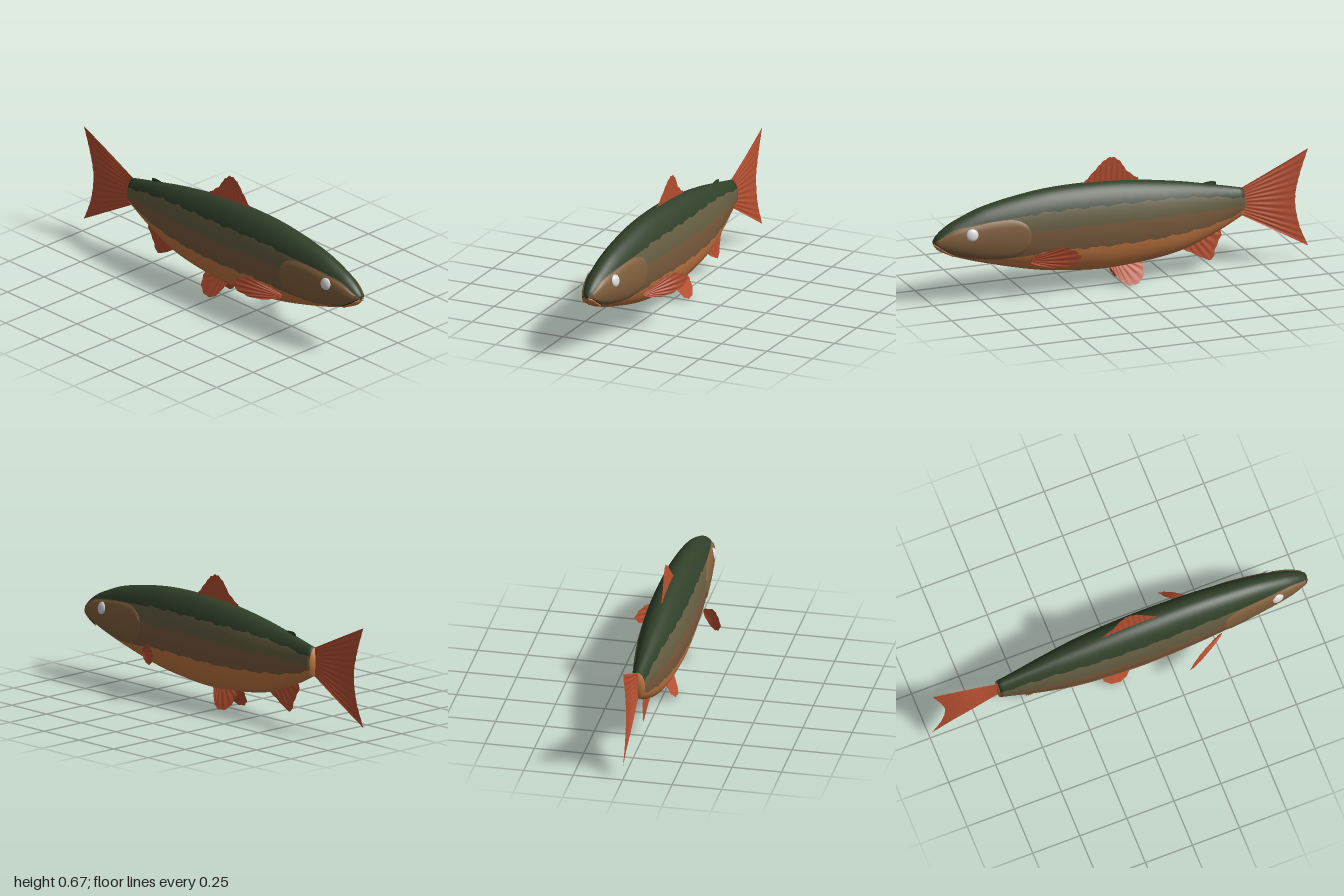
import * as THREE from 'three';

const mat = (name, color, side = THREE.FrontSide) => {
  const m = new THREE.MeshStandardMaterial({ color, side });
  m.name = name;
  return m;
};

// Smooth lookup in a table of [z, value] rows running from nose to tail
function table(rows) {
  const slope = (a, b) => (rows[b][1] - rows[a][1]) / (rows[b][0] - rows[a][0]);
  const last = rows.length - 1;
  return (z) => {
    let i = 0;
    while (i < last - 1 && z < rows[i + 1][0]) i++;
    const [z0, v0] = rows[i], [z1, v1] = rows[i + 1], d = z1 - z0;
    const t = THREE.MathUtils.clamp((z - z0) / d, 0, 1);
    const m0 = slope(Math.max(i - 1, 0), i + 1) * d, m1 = slope(i, Math.min(i + 2, last)) * d;
    const t2 = t * t, t3 = t2 * t;
    return (2 * t3 - 3 * t2 + 1) * v0 + (t3 - 2 * t2 + t) * m0 + (3 * t2 - 2 * t3) * v1 + (t3 - t2) * m1;
  };
}

// Body outline and colour boundaries
const topY = table([[1, .345], [.985, .365], [.95, .395], [.89, .43], [.73, .49], [.46, .537], [.25, .547], [0, .537], [-.286, .497], [-.5, .452], [-.64, .42]]);
const bottomY = table([[1, .325], [.985, .298], [.95, .275], [.89, .248], [.73, .197], [.46, .13], [.25, .102], [.05, .093], [-.286, .13], [-.5, .207], [-.64, .278]]);
const halfWidth = table([[1, .01], [.985, .027], [.95, .043], [.9, .058], [.8, .074], [.6, .095], [.4, .107], [.1, .113], [-.2, .1], [-.4, .074], [-.55, .049], [-.64, .036]]);
const bands = [
  table([[1, .328], [.9, .268], [.8, .238], [.6, .23], [.4, .245], [0, .24], [-.3, .25], [-.5, .27], [-.64, .31]]),
  table([[1, .334], [.9, .34], [.6, .36], [0, .355], [-.3, .348], [-.5, .34], [-.64, .336]]),
  table([[1, .338], [.95, .375], [.9, .4], [.8, .42], [.6, .437], [.4, .45], [0, .445], [-.3, .43], [-.5, .402], [-.64, .375]]),
];
const centre = (z) => (topY(z) + bottomY(z)) / 2;
const halfHeight = (z) => (topY(z) - bottomY(z)) / 2;
const angleAt = (z, y) => Math.asin(THREE.MathUtils.clamp((y - centre(z)) / halfHeight(z), -.97, .97));
const onBody = (z, a, off = 0) => [(halfWidth(z) + off) * Math.cos(a), centre(z) + (halfHeight(z) + off) * Math.sin(a), z];

// Indexed surface from a grid of points
function grid(rows, cols, point) {
  const pos = [], idx = [];
  for (let i = 0; i <= rows; i++) for (let j = 0; j <= cols; j++) pos.push(...point(i / rows, j / cols));
  for (let i = 0; i < rows; i++) for (let j = 0; j < cols; j++) {
    const a = i * (cols + 1) + j, b = a + cols + 1;
    idx.push(a, b, a + 1, a + 1, b, b + 1);
  }
  const g = new THREE.BufferGeometry();
  g.setAttribute('position', new THREE.Float32BufferAttribute(pos, 3));
  g.setIndex(idx);
  g.computeVertexNormals();
  return g;
}

// Closed body loft; the rings follow the colour boundaries
function bodyGeometry() {
  const rows = 110, segs = [10, 5, 5, 10], pos = [], lists = [[], [], [], []];
  const half = segs.reduce((a, b) => a + b), ring = half * 2;
  const owner = segs.flatMap((n, k) => Array(n).fill(k));
  for (let i = 0; i <= rows; i++) {
    const z = 1 - 1.64 * Math.pow(i / rows, 1.5);
    const wave = z < .55 ? .004 * Math.sin(z * 47) + .003 * Math.sin(z * 101) : 0;
    const stops = [-Math.PI / 2, ...bands.map((b, k) => angleAt(z, b(z) + wave * (k % 2 ? -1 : 1))), Math.PI / 2];
    const angles = [];
    segs.forEach((n, k) => {
      for (let j = 0; j < n; j++) angles.push(THREE.MathUtils.lerp(stops[k], stops[k + 1], j / n));
    });
    angles.push(Math.PI / 2);
    for (let j = 0; j < ring; j++) {
      const p = onBody(z, angles[j <= half ? j : ring - j]);
      pos.push(j <= half ? p[0] : -p[0], p[1], p[2]);
    }
  }
  for (let i = 0; i < rows; i++) for (let j = 0; j < ring; j++) {
    const a = i * ring + j, b = i * ring + (j + 1) % ring;
    lists[owner[j < half ? j : ring - 1 - j]].push(a, a + ring, b, b, a + ring, b + ring);
  }
  // Nose and tail caps
  const nose = pos.length / 3, tail = nose + 1, end = rows * ring;
  pos.push(0, centre(1), 1, 0, centre(-.64), -.645);
  for (let j = 0; j < ring; j++) {
    const k = (j + 1) % ring;
    lists[3].push(nose, j, k);
    lists[0].push(tail, end + k, end + j);
  }
  const g = new THREE.BufferGeometry();
  g.setAttribute('position', new THREE.Float32BufferAttribute(pos, 3));
  g.setIndex(lists.flat());
  let start = 0;
  lists.forEach((l, k) => { g.addGroup(start, l.length, k); start += l.length; });
  g.computeVertexNormals();
  return g;
}

// Pleated fin between a base line and a ragged tip line, placed by a rule
function finGeometry(base, tip, rays, place, ragged = .006) {
  const curve = (pts) => new THREE.CatmullRomCurve3(pts.map(([u, v]) => new THREE.Vector3(u, v, 0)), false, 'centripetal');
  const b = curve(base), t = curve(tip);
  return grid(rays * 4, 6, (i, j) => {
    const p = b.getPoint(i), q = t.getPoint(i), fold = Math.cos(i * rays * Math.PI * 2);
    const out = q.clone().sub(p);
    if (out.length() > .03) q.addScaledVector(out.normalize(), ragged * (fold - 1) / 2);
    p.lerp(q, j);
    return place(p.x, p.y, .0025 * fold * Math.sin(Math.PI * j));
  });
}

export function createModel() {
  const fish = new THREE.Group();
  fish.name = 'fish';
  const belly = mat('orange belly', 0xc67a43), side = mat('brown flank', 0x7a5b3e);
  const olive = mat('olive flank', 0x665f43), back = mat('dark green back', 0x304029, THREE.DoubleSide);
  const head = mat('brown cheek', 0x84623f, THREE.DoubleSide), fin = mat('red fin', 0xb95132, THREE.DoubleSide);
  const white = mat('pale eye', 0xdedede), dark = mat('dark mouth', 0x3a2a1c);
  const add = (name, geo, material, parent = fish) => {
    const m = new THREE.Mesh(geo, material);
    m.name = name;
    parent.add(m);
    return m;
  };

  add('body', bodyGeometry(), [belly, side, olive, back]);

  // Tail and the single fins on the midline, given as [z, y]
  add('tailFin', finGeometry([[-.625, .415], [-.625, .35], [-.625, .283]],
    [[-.99, .583], [-.945, .45], [-.922, .335], [-.94, .2], [-.99, .075]], 12, (z, y, f) => [f, y, z], .002), fin);
  add('dorsalFin', finGeometry([[.2, .53], [.07, .525], [-.07, .51]],
    [[.205, .548], [.14, .615], [.1, .655], [.056, .672], [.013, .645], [-.025, .59], [-.09, .54]], 9,
    (z, y, f) => [(y - .53) * .08 + f, y, z]), fin);
  add('analFin', finGeometry([[-.3, .16], [-.4, .19], [-.5, .23]],
    [[-.305, .145], [-.37, .112], [-.475, .066], [-.5, .125], [-.532, .2], [-.51, .225]], 8,
    (z, y, f) => [(.2 - y) * .07 + f, y, z]), fin);
  add('adiposeFin', finGeometry([[-.42, .46], [-.46, .455], [-.49, .445]],
    [[-.425, .468], [-.46, .474], [-.5, .468], [-.5, .44]], 3, (z, y, f) => [f, y, z], .002), back);

  for (const s of [1, -1]) {
    const half = new THREE.Group();
    half.name = s > 0 ? 'leftSide' : 'rightSide';
    fish.add(half);

    // Raised cheek and gill cover
    const upper = table([[.985, .35], [.9, .4], [.8, .42], [.7, .436], [.6, .435], [.55, .412], [.525, .38], [.512, .34]]);
    const lower = table([[.985, .318], [.9, .266], [.8, .234], [.7, .218], [.6, .225], [.55, .255], [.525, .295], [.512, .338]]);
    add('gillCover', grid(44, 16, (i, j) => {
      const z = THREE.MathUtils.lerp(.985, .512, Math.sin(i * Math.PI / 2));
      const rim = Math.min(1, 8 * j, 8 * (1 - j), (z - .512) * 50);
      const p = onBody(z, angleAt(z, THREE.MathUtils.lerp(lower(z), upper(z), j)), -.002 + .007 * rim);
      return [s * p[0], p[1], p[2]];
    }), head, half);

    // Lip and mouth line
    const lipPath = (dy) => new THREE.CatmullRomCurve3([[.998, .332], [.985, .324], [.96, .305], [.93, .287], [.905, .272]].map(([z, y]) => {
      const p = onBody(z, angleAt(z, y + dy), .002);
      return new THREE.Vector3(s * p[0], p[1], p[2]);
    }));
    add('mouthLine', new THREE.TubeGeometry(lipPath(0), 16, .004, 6), dark, half);
    add('lowerLip', new THREE.TubeGeometry(lipPath(-.008), 16, .006, 8), belly, half);

    // Eye
    const e = onBody(.82, angleAt(.82, .372));
    const eye = add('eye', new THREE.SphereGeometry(.031, 24, 16), white, half);
    eye.position.set(s * (e[0] + .002), e[1], e[2]);
    eye.scale.x = .42;
    eye.rotation.set(0, s * -.15, s * .2);

    // Pectoral fin, given as [x, y] and swept backwards
    add('pectoralFin', finGeometry([[.085, .215], [.083, .205], [.085, .195]],
      [[.1, .235], [.13, .258], [.155, .28], [.18, .285], [.203, .272], [.22, .244], [.203, .205], [.175, .18], [.135, .172], [.1, .185]], 9,
      (x, y, f) => [s * (x + f), y, .515 - (x - .085) * 1.64 + f]), fin, half);

    // Pelvic fin, given as [z, y] and splayed outwards
    add('pelvicFin', finGeometry([[.07, .115], [.02, .112], [-.05, .115]],
      [[.07, .1], [.04, .05], [.01, .015], [-.04, .004], [-.09, .03], [-.105, .08], [-.1, .11]], 7,
      (z, y, f) => [s * (.072 - y * .5 + f), y, z]), fin, half);
  }
  return fish;
}
